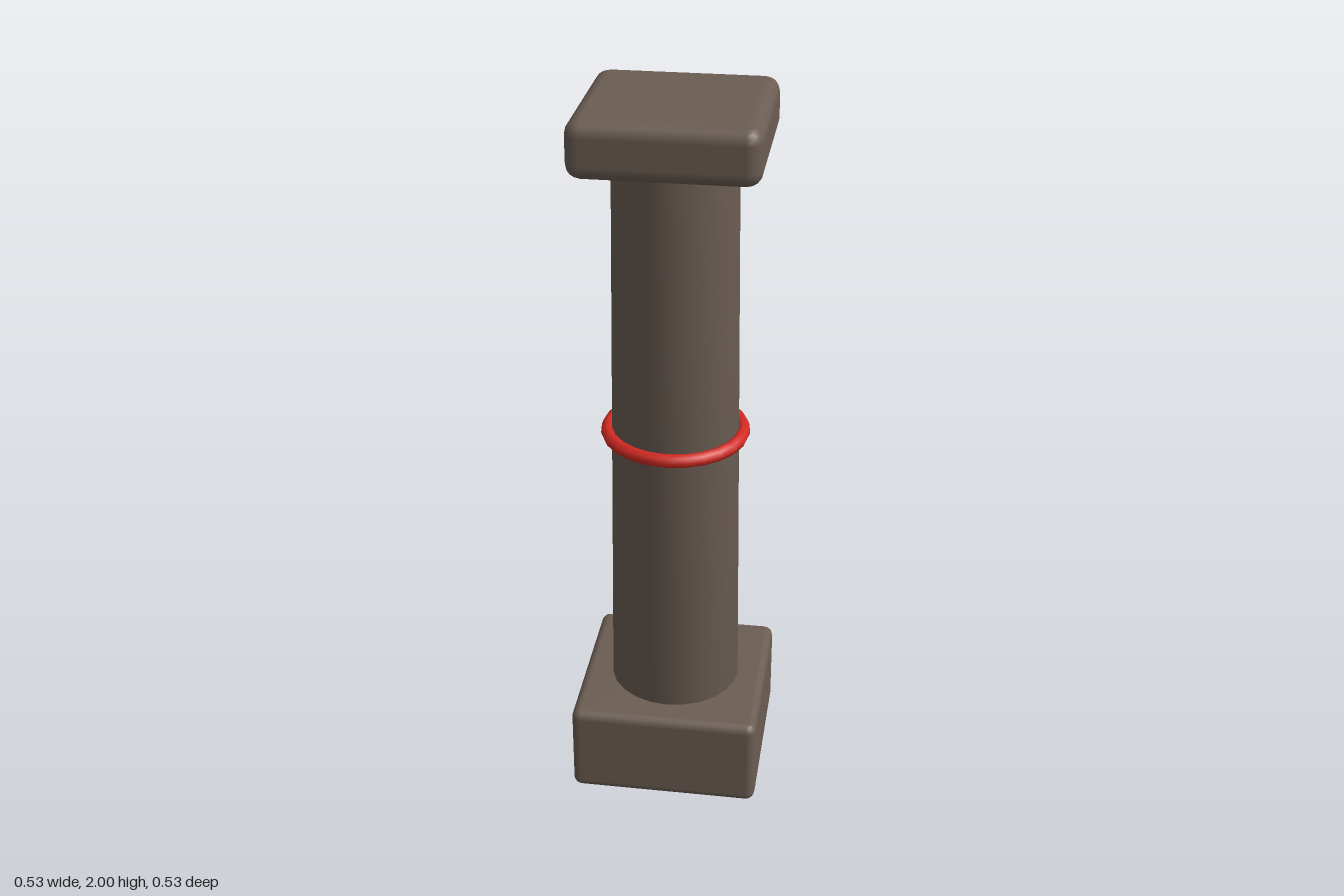
import * as THREE from 'three';
import { RoundedBoxGeometry } from 'three/addons/geometries/RoundedBoxGeometry.js';

export function createModel() {
  const model = new THREE.Group();
  model.name = 'column';

  const stone = new THREE.MeshStandardMaterial({ color: 0x6b5d53 });
  stone.name = 'brown stone';
  const red = new THREE.MeshStandardMaterial({ color: 0xd32a22 });
  red.name = 'red band';

  function add(name, geometry, material, y) {
    const mesh = new THREE.Mesh(geometry, material);
    mesh.name = name;
    mesh.position.y = y;
    model.add(mesh);
    return mesh;
  }

  // Square blocks with softened edges at both ends
  function block(name, width, bottom, top, radius) {
    add(name, new RoundedBoxGeometry(width, top - bottom, width, 2, radius), stone, (bottom + top) / 2);
  }
  block('base', 0.53, 0, 0.265, 0.026);
  block('capital', 0.486, 1.85, 2, 0.04);

  // Tapered shaft; its closed foot shares smooth normals with the side
  const profile = [[0, 0.255], [0.185, 0.255], [0.165, 1.86]]
    .map(([r, y]) => new THREE.Vector2(r, y));
  add('shaft', new THREE.LatheGeometry(profile, 24), stone, 0);

  // Thin ring around the middle
  const ring = new THREE.TorusGeometry(0.186, 0.019, 8, 24);
  ring.rotateX(Math.PI / 2);
  add('ring', ring, red, 1.067);

  return model;
}
